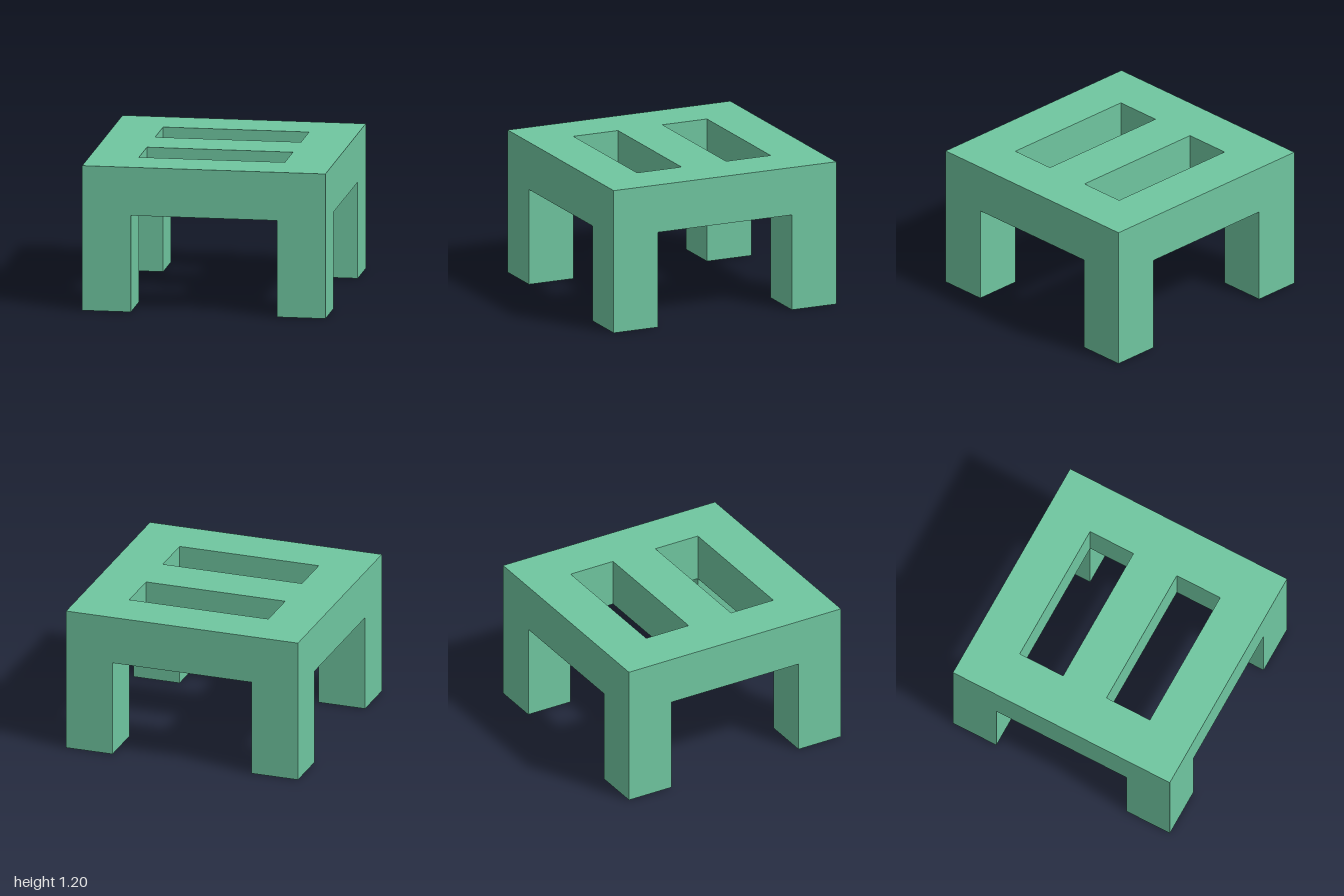
import * as THREE from 'three';

export function createModel() {
  const model = new THREE.Group();
  model.name = 'slottedTable';

  const green = new THREE.MeshStandardMaterial({ color: 0x6fc6a0 });
  green.name = 'sea green';

  const beam = 0.4;      // thickness of the top and width of each leg
  const legHeight = 0.8;

  // Traces a rectangle centred on x = 0 onto a shape or hole path
  const rectangle = (path, halfWidth, y0, y1) => {
    path.moveTo(-halfWidth, y0);
    path.lineTo(halfWidth, y0);
    path.lineTo(halfWidth, y1);
    path.lineTo(-halfWidth, y1);
    path.closePath();
    return path;
  };

  // Square top with two long slots either side of a middle bar
  const outline = rectangle(new THREE.Shape(), 1, -1, 1);
  for (const start of [-0.6, 0.2]) {
    outline.holes.push(rectangle(new THREE.Path(), 0.6, start, start + 0.4));
  }
  const topGeometry = new THREE.ExtrudeGeometry(outline, { depth: beam, bevelEnabled: false });
  topGeometry.rotateX(-Math.PI / 2);
  const top = new THREE.Mesh(topGeometry, green);
  top.name = 'slottedTop';
  top.position.y = legHeight;
  model.add(top);

  // Four square legs flush with the corners
  const legGeometry = new THREE.BoxGeometry(beam, legHeight, beam);
  for (const [side, x] of [['Left', 0.8], ['Right', -0.8]]) {
    for (const [end, z] of [['front', 0.8], ['back', -0.8]]) {
      const leg = new THREE.Mesh(legGeometry, green);
      leg.name = `${end}${side}Leg`;
      leg.position.set(x, legHeight / 2, z);
      model.add(leg);
    }
  }

  return model;
}
